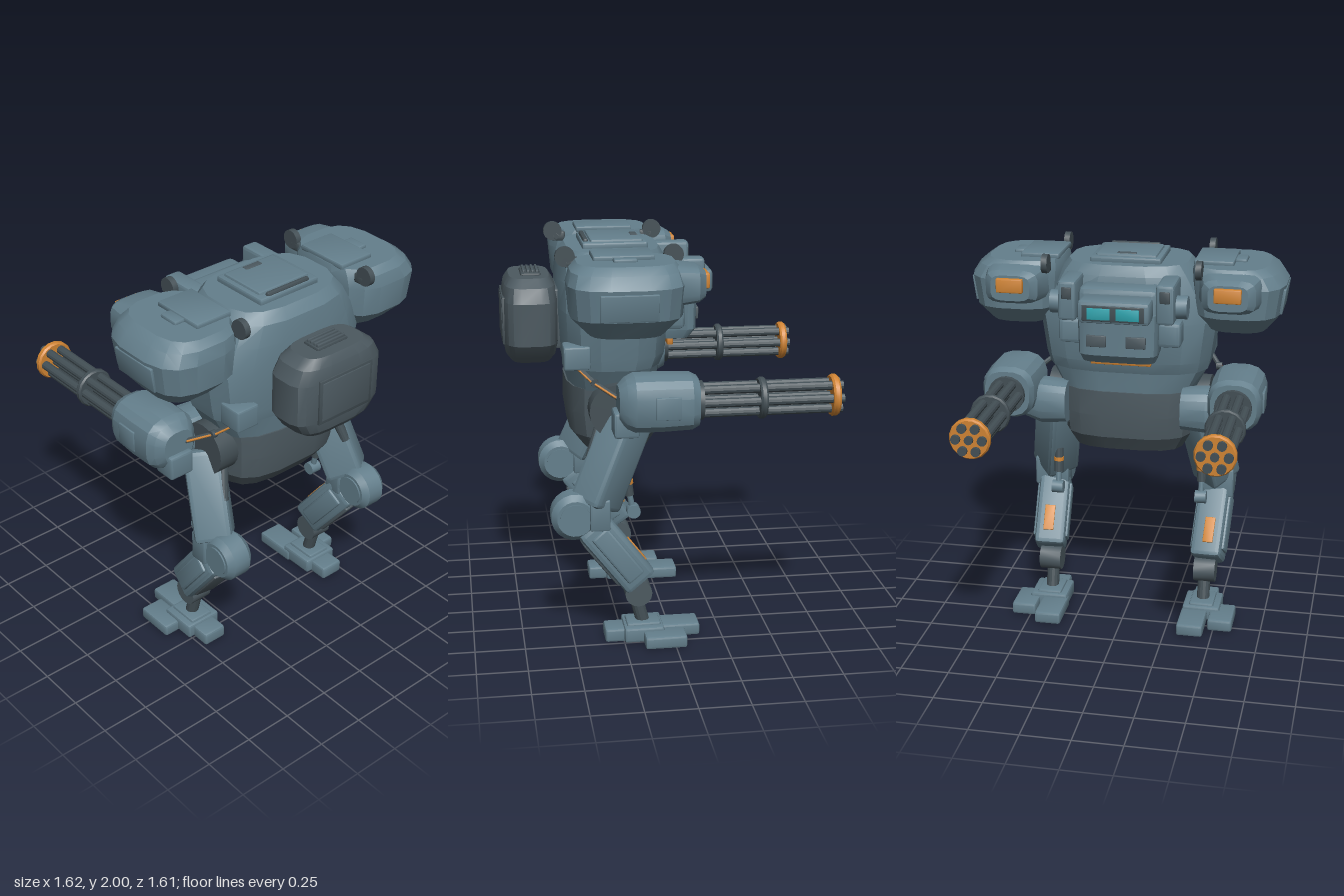
import * as THREE from 'three';
import { toCreasedNormals } from 'three/addons/utils/BufferGeometryUtils.js';
import { RoundedBoxGeometry } from 'three/addons/geometries/RoundedBoxGeometry.js';

const V = (x, y, z) => new THREE.Vector3(x, y, z);
const paint = (name, color) => Object.assign(new THREE.MeshStandardMaterial({ color }), { name });

// Bevelled box, optionally tilted about z
function box(x, y, z, w, h, d, r = 0.01, rz = 0) {
  const rad = Math.min(r, w * 0.45, h * 0.45, d * 0.45);
  return new RoundedBoxGeometry(w, h, d, 1, rad).rotateZ(rz).translate(x, y, z);
}

// Lays a y-up geometry along the line from a to b
function aim(geo, a, b) {
  const q = new THREE.Quaternion().setFromUnitVectors(V(0, 1, 0), b.clone().sub(a).normalize());
  return geo.applyQuaternion(q).translate((a.x + b.x) / 2, (a.y + b.y) / 2, (a.z + b.z) / 2);
}
const rod = (a, b, r, n = 14) => aim(new THREE.CylinderGeometry(r, r, a.distanceTo(b), n), a, b);
const beam = (a, b, w, d, r = 0.02) => aim(box(0, 0, 0, w, a.distanceTo(b), d, r), a, b);
const disc = (x, y, z, r, w, n = 20) => rod(V(x - w / 2, y, z), V(x + w / 2, y, z), r, n);

// Hull through superellipse rings: [height, centre x, centre z, half x, half z]
function loft(rings, power = 3, n = 16) {
  const pos = [], idx = [];
  const pow = v => Math.sign(v) * Math.abs(v) ** (2 / power);
  for (const [y, cx, cz, hx, hz] of rings) {
    for (let j = 0; j < n; j++) {
      const t = ((j + 0.5) / n) * Math.PI * 2;
      pos.push(cx + hx * pow(Math.cos(t)), y, cz + hz * pow(Math.sin(t)));
    }
  }
  const top = rings.length - 1;
  for (let i = 0; i < top; i++) {
    for (let j = 0; j < n; j++) {
      const k = (j + 1) % n, a = i * n + j, b = i * n + k;
      idx.push(a, a + n, b, b, a + n, b + n);
    }
  }
  for (let j = 1; j < n - 1; j++) idx.push(0, j, j + 1, top * n, top * n + j + 1, top * n + j);
  const g = new THREE.BufferGeometry();
  g.setAttribute('position', new THREE.Float32BufferAttribute(pos, 3));
  g.setIndex(idx);
  return g;
}
const loftZ = (rings, x, y, power) => loft(rings, power).rotateX(Math.PI / 2).translate(x, y, 0);

// Mirrored copy with corner order restored
function mirrored(geo) {
  const g = (geo.index ? geo.toNonIndexed() : geo.clone()).scale(-1, 1, 1);
  const p = g.attributes.position;
  for (let i = 0; i < p.count; i += 3) {
    const a = V().fromBufferAttribute(p, i + 1), b = V().fromBufferAttribute(p, i + 2);
    p.setXYZ(i + 1, b.x, b.y, b.z);
    p.setXYZ(i + 2, a.x, a.y, a.z);
  }
  return g;
}

export function createModel() {
  const armor = paint('blue grey armor', 0x647f8c);
  const dark = paint('dark armor', 0x4c5960);
  const metal = paint('gun metal', 0x434f55);
  const orange = paint('orange marking', 0xd08433);
  const glass = paint('cyan glass', 0x2fa6b0);
  const model = new THREE.Group();
  model.name = 'walkerRobot';
  const add = (name, geo, mat) => {
    const mesh = new THREE.Mesh(toCreasedNormals(geo, 0.42), mat);
    mesh.name = name;
    model.add(mesh);
  };
  const pair = (name, geo, mat) => {
    add(name + 'Left', geo, mat);
    add(name + 'Right', mirrored(geo), mat);
  };

  // Torso, waist and pelvis
  add('torso', loft([[1.39, 0, 0.262, 0.42, 0.245], [1.45, 0, 0.257, 0.435, 0.265], [1.66, 0, 0.255, 0.465, 0.278],
    [1.8, 0, 0.255, 0.41, 0.277], [1.9, 0, 0.255, 0.35, 0.265], [1.95, 0, 0.25, 0.31, 0.23]]), armor);
  add('waist', loft([[1.27, 0, 0.26, 0.35, 0.225], [1.39, 0, 0.263, 0.415, 0.24]]), armor);
  add('pelvis', loft([[0.95, 0, 0.25, 0.29, 0.17], [1.03, 0, 0.255, 0.335, 0.225], [1.15, 0, 0.257, 0.347, 0.24],
    [1.28, 0, 0.26, 0.35, 0.235]]), dark);

  // Roof hatch
  add('hatchBase', box(0, 1.958, 0.245, 0.36, 0.04, 0.32), armor);
  add('hatchLid', box(0, 1.975, 0.235, 0.31, 0.03, 0.26), armor);
  add('hatchVent', box(0, 1.988, 0.135, 0.1, 0.01, 0.035), dark);
  add('hatchHinge', box(0, 1.98, 0.385, 0.26, 0.025, 0.025), metal);

  // Backpack
  add('backpack', loft([[1.39, 0, 0.663, 0.18, 0.1], [1.425, 0, 0.663, 0.225, 0.125], [1.49, 0, 0.663, 0.27, 0.137],
    [1.7, 0, 0.663, 0.272, 0.137], [1.77, 0, 0.663, 0.235, 0.125], [1.81, 0, 0.663, 0.18, 0.1]], 3.6, 20), dark);
  add('backpackMount', box(0, 1.6, 0.52, 0.3, 0.3, 0.08), dark);
  add('backpackPanelRim', box(0, 1.6, 0.781, 0.33, 0.235, 0.044, 0.004), metal);
  add('backpackPanel', box(0, 1.6, 0.783, 0.3, 0.205, 0.046, 0.004), dark);
  add('backpackVent', box(0, 1.812, 0.655, 0.19, 0.02, 0.1), metal);
  for (let i = 0; i < 4; i++) add('ventSlat', box(0, 1.825, 0.622 + i * 0.022, 0.17, 0.018, 0.012, 0.003), dark);
  pair('backBox', box(0.355, 1.46, 0.46, 0.13, 0.115, 0.13), armor);

  // Face with visor, jaw and sensors
  add('faceBase', box(0, 1.7, -0.05, 0.4, 0.34, 0.16, 0.03), armor);
  add('jaw', loft([[1.49, 0, -0.04, 0.185, 0.09], [1.535, 0, -0.05, 0.2, 0.115], [1.745, 0, -0.05, 0.205, 0.12]], 5), armor);
  add('chinStripe', box(0, 1.472, -0.03, 0.31, 0.042, 0.03, 0.006), orange);
  add('visorHood', box(0, 1.775, -0.175, 0.36, 0.115, 0.13, 0.02), armor);
  add('visorFrame', box(0, 1.772, -0.236, 0.31, 0.08, 0.014, 0.004), metal);
  pair('visorWindow', box(0.072, 1.77, -0.243, 0.115, 0.058, 0.008, 0.002), glass);
  pair('jawVent', box(0.1, 1.61, -0.166, 0.1, 0.06, 0.014, 0.004), dark);
  pair('sensorBox', box(0.245, 1.81, -0.065, 0.09, 0.2, 0.23, 0.015), armor);
  pair('sensorEye', box(0.245, 1.85, -0.178, 0.05, 0.06, 0.012, 0.004), metal);
  pair('sensorDisc', disc(0.31, 1.78, -0.075, 0.058, 0.07), armor);
  pair('cheekBox', box(0.25, 1.63, -0.02, 0.12, 0.13, 0.12, 0.02), armor);

  // Shoulder pods
  pair('shoulderPod', loft([[1.62, 0.565, 0.245, 0.15, 0.175], [1.71, 0.565, 0.245, 0.222, 0.265], [1.86, 0.57, 0.245, 0.24, 0.278],
    [1.92, 0.55, 0.243, 0.22, 0.262], [1.955, 0.53, 0.24, 0.19, 0.232]]), armor);
  pair('podSidePanel', box(0.792, 1.778, 0.25, 0.016, 0.13, 0.27, 0.005, -0.14), armor);
  pair('podHatch', box(0.445, 1.962, 0.245, 0.2, 0.03, 0.29, 0.008), armor);
  pair('podLatch', box(0.57, 1.958, 0.245, 0.06, 0.025, 0.11, 0.008), armor);
  pair('podNose', loftZ([[-0.125, 0, 0, 0.1, 0.065], [-0.09, 0, 0, 0.135, 0.085], [0.04, 0, 0, 0.165, 0.1]], 0.545, 1.845, 4), armor);
  pair('podLight', box(0.545, 1.861, -0.133, 0.135, 0.072, 0.03, 0.006), orange);
  for (const z of [0.51, -0.01]) {
    pair('liftingLug', disc(0.388, 1.952, z, 0.048, 0.03), metal);
    pair('lugFoot', box(0.388, 1.925, z * 0.88 + 0.03, 0.03, 0.05, 0.07), metal);
  }

  // Arms and gun housings
  const gx = 0.583, gy = 1.28;
  pair('armJoint', loft([[-0.52, 0, 0, 0.09, 0.09], [-0.43, 0, 0, 0.12, 0.12], [-0.3, 0, 0, 0.11, 0.11]], 2.4)
    .rotateZ(Math.PI / 2).translate(0, 1.2, 0.09), armor);
  pair('gunHousing', loftZ([[-0.095, 0, 0, 0.118, 0.118], [-0.06, 0, 0, 0.136, 0.136], [0.08, 0, 0, 0.144, 0.141],
    [0.21, 0, 0, 0.142, 0.14], [0.25, 0, 0, 0.122, 0.122], [0.285, 0, 0, 0.085, 0.085]], gx, gy, 2.7), armor);
  pair('housingPanel', box(0.722, 1.28, 0.06, 0.014, 0.11, 0.12, 0.004), armor);
  pair('ammoBox', box(0.585, 1.183, 0.25, 0.135, 0.125, 0.12, 0.012), armor);

  // Jointed feed arms with cable
  const feed = [V(0.385, 1.41, 0.455), V(0.45, 1.345, 0.38), V(0.54, 1.285, 0.27)];
  const lift = V(-0.004, 0.008, 0.016);
  for (let i = 0; i < 2; i++) {
    pair('feedArm', rod(feed[i], feed[i + 1], 0.013, 8), metal);
    pair('feedCable', rod(feed[i].clone().add(lift), feed[i + 1].clone().add(lift), 0.007, 8), orange);
  }
  pair('feedElbow', disc(0.45, 1.345, 0.38, 0.02, 0.03, 12), metal);

  // Rotary guns
  const along = (r, z0, z1, dx = 0, dy = 0, n = 12) => rod(V(gx + dx, gy + dy, z0), V(gx + dx, gy + dy, z1), r, n);
  const ring = (r, z, w) => loftZ([[z - w / 2, 0, 0, r * 0.93, r * 0.93], [z - w / 4, 0, 0, r, r], [z + w / 4, 0, 0, r, r],
    [z + w / 2, 0, 0, r * 0.93, r * 0.93]], gx, gy, 2);
  pair('gunCollar', along(0.095, -0.06, -0.12, 0, 0, 20), metal);
  pair('gunMiddleRing', ring(0.101, -0.408, 0.036), metal);
  pair('gunMuzzleRing', ring(0.102, -0.763, 0.038), orange);
  pair('gunBarrelCentre', along(0.021, -0.08, -0.8), metal);
  for (let i = 0; i < 6; i++) {
    const t = (i * Math.PI) / 3;
    pair('gunBarrel', along(0.023, -0.08, -0.8, 0.065 * Math.cos(t), 0.065 * Math.sin(t)), metal);
  }

  // Upper legs
  pair('hipDisc', disc(0.365, 1.19, 0.27, 0.135, 0.12), metal);
  pair('thigh', beam(V(0.38, 1.15, 0.21), V(0.45, 0.725, 0.39), 0.19, 0.2, 0.025), armor);
  pair('thighRod', rod(V(0.345, 1.2, 0.32), V(0.41, 0.95, 0.405), 0.026), metal);
  pair('knee', loft([[-0.53, 0, 0, 0.09, 0.09], [-0.5, 0, 0, 0.118, 0.118], [-0.41, 0, 0, 0.118, 0.118], [-0.38, 0, 0, 0.09, 0.09]], 2, 20)
    .rotateZ(Math.PI / 2).translate(0, 0.685, 0.49), armor);
  pair('kneeCap', disc(0.455, 0.685, 0.49, 0.075, 0.165), armor);
  pair('kneeCover', box(0.455, 0.7, 0.37, 0.185, 0.16, 0.1), armor);

  // Leg pistons
  const px = 0.39;
  pair('piston', rod(V(px, 0.88, 0.225), V(px, 0.75, 0.21), 0.024), metal);
  pair('pistonBand', rod(V(px, 0.83, 0.219), V(px, 0.81, 0.217), 0.028), orange);
  pair('pistonRod', rod(V(px, 0.76, 0.21), V(px, 0.66, 0.19), 0.015), armor);
  pair('pistonPin', disc(px, 0.668, 0.19, 0.034, 0.06), armor);

  // Shins with front and back plates
  const up = V(0.45, 0.64, 0.415), low = V(0.435, 0.315, 0.167);
  pair('shin', beam(up, low, 0.165, 0.18, 0.025), armor);
  const front = V(0, 0.6, -0.8), plate = (t0, t1, off) => [t0, t1].map(t => up.clone().lerp(low, t).addScaledVector(front, off));
  pair('shinSpine', beam(...plate(0.15, 0.85, -0.087), 0.12, 0.03, 0.01), dark);
  pair('shinSidePlate', beam(...plate(0.12, 0.88, 0), 0.19, 0.1, 0.012), armor);
  pair('shinMarking', beam(...plate(0.48, 0.82, 0.091), 0.055, 0.012, 0.003), orange);

  // Ankles and feet
  pair('ankle', disc(0.425, 0.255, 0.175, 0.068, 0.115, 16), dark);
  pair('ankleRod', rod(V(0.42, 0.24, 0.19), V(0.42, 0.07, 0.145), 0.034), metal);
  pair('ankleBase', box(0.42, 0.075, 0.15, 0.13, 0.045, 0.17), armor);
  pair('foot', box(0.42, 0.045, 0.15, 0.2, 0.078, 0.2, 0.012), armor);
  pair('heel', box(0.42, 0.035, 0.27, 0.13, 0.07, 0.15, 0.012), armor);
  pair('innerToe', box(0.385, 0.032, -0.02, 0.14, 0.064, 0.24, 0.012), armor);
  pair('outerToe', box(0.535, 0.032, 0.05, 0.13, 0.064, 0.21, 0.012), armor);
  return model;
}
